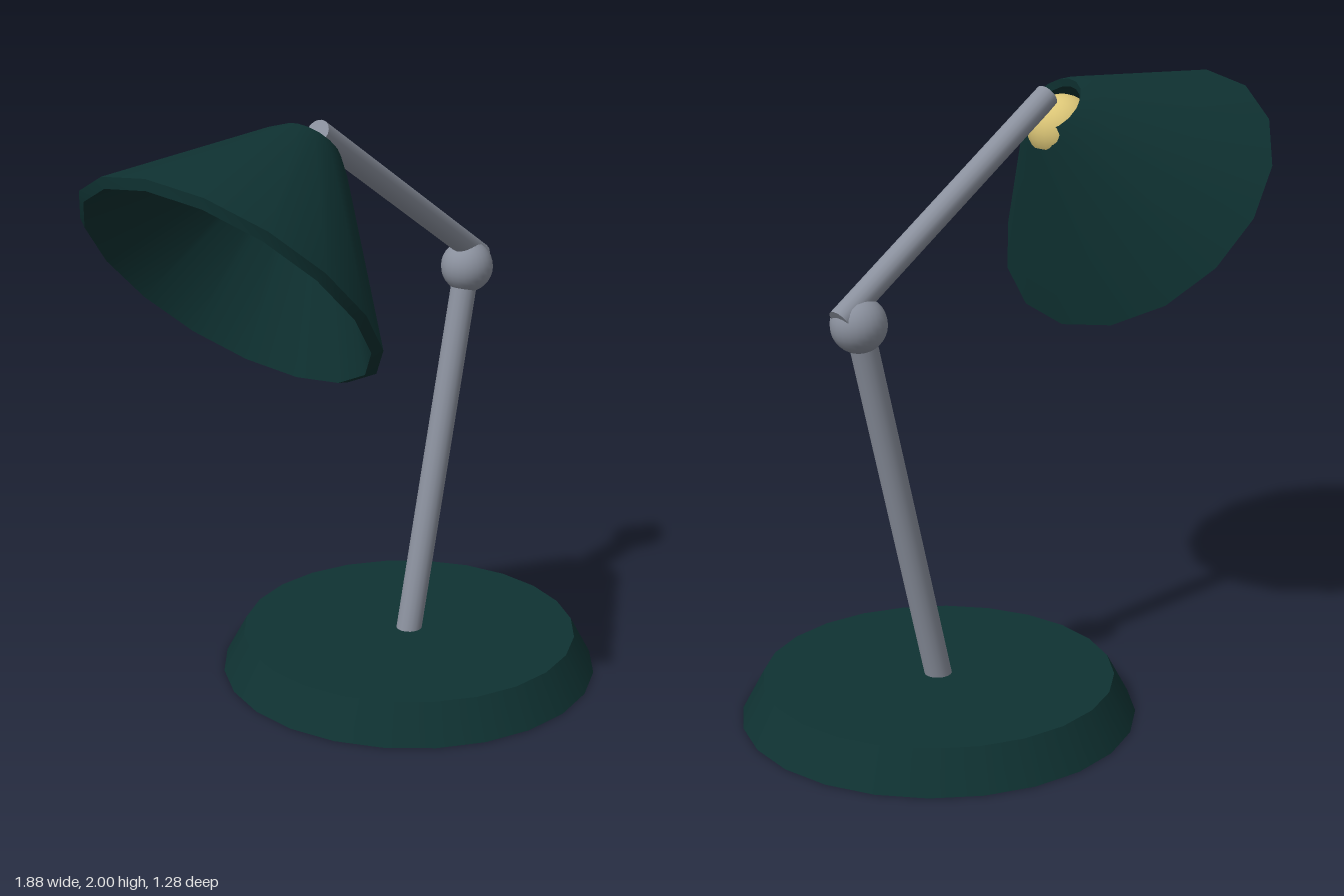
import * as THREE from 'three';
import { toCreasedNormals } from 'three/addons/utils/BufferGeometryUtils.js';

export function createModel() {
  const group = new THREE.Group();
  const mat = (name, color) => {
    const m = new THREE.MeshStandardMaterial({ color });
    m.name = name;
    return m;
  };
  const green = mat('dark green', 0x0f3232);
  const grey = mat('metal grey', 0x8a909d);
  const gold = mat('warm bulb', 0xdcc677);

  const add = (name, geometry, material, x = 0, y = 0) => {
    const mesh = new THREE.Mesh(geometry, material);
    mesh.name = name;
    mesh.position.set(x, y, 0);
    group.add(mesh);
    return mesh;
  };

  // straight rod between two points in the x-y plane
  const rod = (name, x0, y0, x1, y1, radius) => {
    const dx = x1 - x0, dy = y1 - y0;
    const geometry = new THREE.CylinderGeometry(radius, radius, Math.hypot(dx, dy), 16);
    const mesh = add(name, geometry, grey, (x0 + x1) / 2, (y0 + y1) / 2);
    mesh.rotation.z = -Math.atan2(dx, dy);
  };

  // weighted foot with a sloped edge
  add('base', new THREE.CylinderGeometry(0.57, 0.64, 0.13, 24), green, 0.3, 0.065);

  // two arms and the elbow
  rod('lowerArm', 0.295, 0.1, 0.61, 1.355, 0.044);
  add('elbowJoint', new THREE.SphereGeometry(0.088, 24, 16), grey, 0.61, 1.355);
  rod('upperArm', 0.683, 1.378, -0.183, 1.957, 0.04);

  // conical shade: a thin shell, open at both ends
  const profile = [
    [0.485, -0.022], [0.513, 0], [0.15, 0.467], [0.101, 0.52],
    [0.085, 0.5], [0.125, 0.45], [0.485, -0.022],
  ].map(([r, y]) => new THREE.Vector2(r, y));
  const shade = add('shade', toCreasedNormals(new THREE.LatheGeometry(profile, 16), 0.6),
    green, -0.6, 1.578);
  shade.rotation.z = -0.84;

  // bulb showing through the neck of the shade
  add('bulb', new THREE.SphereGeometry(0.112, 24, 16), gold, -0.25, 1.842);

  return group;
}
